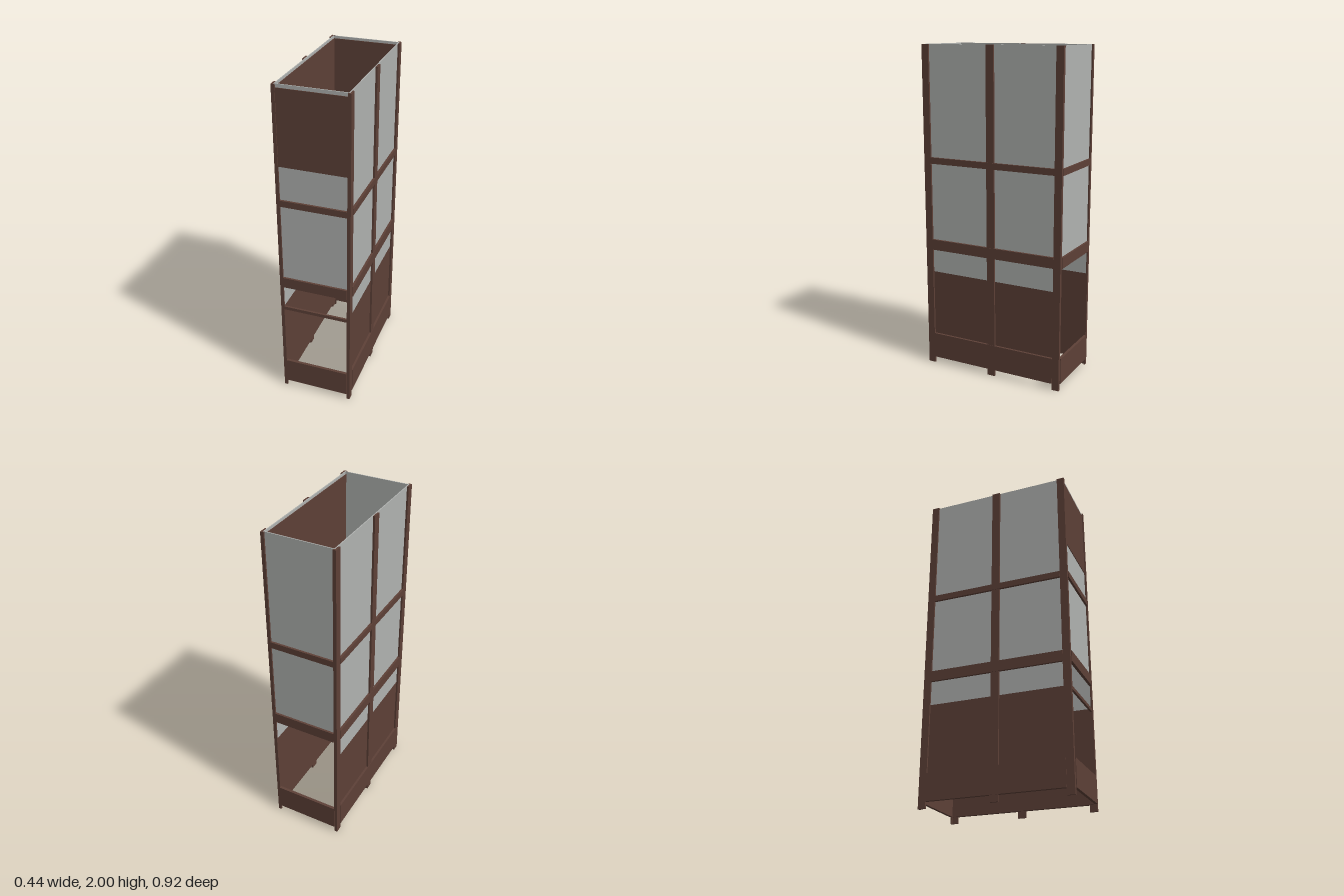
import * as THREE from 'three';

export function createModel() {
  const root = new THREE.Group();
  const brown = new THREE.MeshStandardMaterial({ name: 'brown wood', color: 0x5d4037 });
  const grey = new THREE.MeshStandardMaterial({ name: 'grey panel', color: 0xb0b2b0 });

  // Box given by its minimum and maximum on each axis
  function box(name, mat, x0, x1, y0, y1, z0, z1, parent = root) {
    const mesh = new THREE.Mesh(new THREE.BoxGeometry(x1 - x0, y1 - y0, z1 - z0), mat);
    mesh.position.set((x0 + x1) / 2, (y0 + y1) / 2, (z0 + z1) / 2);
    mesh.name = name;
    parent.add(mesh);
  }

  // Same box on the +x or -x side (a to b is the distance from the middle)
  const sideBox = (s, name, mat, a, b, y0, y1, z0, z1) =>
    box(name, mat, Math.min(s * a, s * b), Math.max(s * a, s * b), y0, y1, z0, z1);
  // Same box on the front or back
  const endBox = (s, name, mat, x, y0, y1, a, b) =>
    box(name, mat, -x, x, y0, y1, Math.min(s * a, s * b), Math.max(s * a, s * b));

  const rails = [[0.755, 0.82], [1.295, 1.333]];

  // Long sides
  for (const s of [-1, 1]) {
    sideBox(s, 'sideGlass', grey, 0.2, 0.206, 0.61, 2, -0.446, 0.446);
    sideBox(s, 'sideLowerPanel', brown, 0.2, 0.206, 0.04, 0.61, -0.446, 0.446);
    sideBox(s, 'sideUpperLining', brown, 0.196, 0.2, 1.54, 1.985, -0.44, 0.44);
    sideBox(s, 'sideMiddlePost', brown, 0.206, 0.218, 0, 2, -0.025, 0.025);
    sideBox(s, 'sideBaseBoard', brown, 0.206, 0.22, 0.04, 0.2, -0.41, 0.41);
    for (const [y0, y1] of rails) sideBox(s, 'sideRail', brown, 0.206, 0.22, y0, y1, -0.41, 0.41);

    // L-shaped corner posts
    for (const t of [-1, 1]) {
      const post = new THREE.Group();
      post.name = 'cornerPost';
      const xs = (a, b) => [Math.min(s * a, s * b), Math.max(s * a, s * b)];
      const zs = (a, b) => [Math.min(t * a, t * b), Math.max(t * a, t * b)];
      box('postSideFace', brown, ...xs(0.206, 0.217), 0, 2, ...zs(0.41, 0.455), post);
      box('postEndFace', brown, ...xs(0.197, 0.206), 0, 2, ...zs(0.446, 0.455), post);
      root.add(post);
    }
  }

  // Front and back ends
  for (const s of [-1, 1]) {
    endBox(s, 'endGlass', grey, 0.2, 0.79, 2, 0.44, 0.446);
    endBox(s, 'endBaseBoard', brown, 0.197, 0.04, 0.2, 0.442, 0.459);
    for (const [y0, y1] of rails) endBox(s, 'endRail', brown, 0.197, y0, y1, 0.442, 0.459);
  }
  box('frontUpperBoard', brown, -0.197, 0.197, 1.535, 1.98, 0.446, 0.45);
  box('backUpperLining', brown, -0.196, 0.196, 1.54, 1.985, -0.44, -0.436);
  box('frontShelfBar', brown, -0.2, 0.2, 0.59, 0.61, 0.44, 0.453);

  // Floor of the upper bin
  box('binFloor', brown, -0.2, 0.2, 1.53, 1.54, -0.44, 0.44);

  return root;
}
